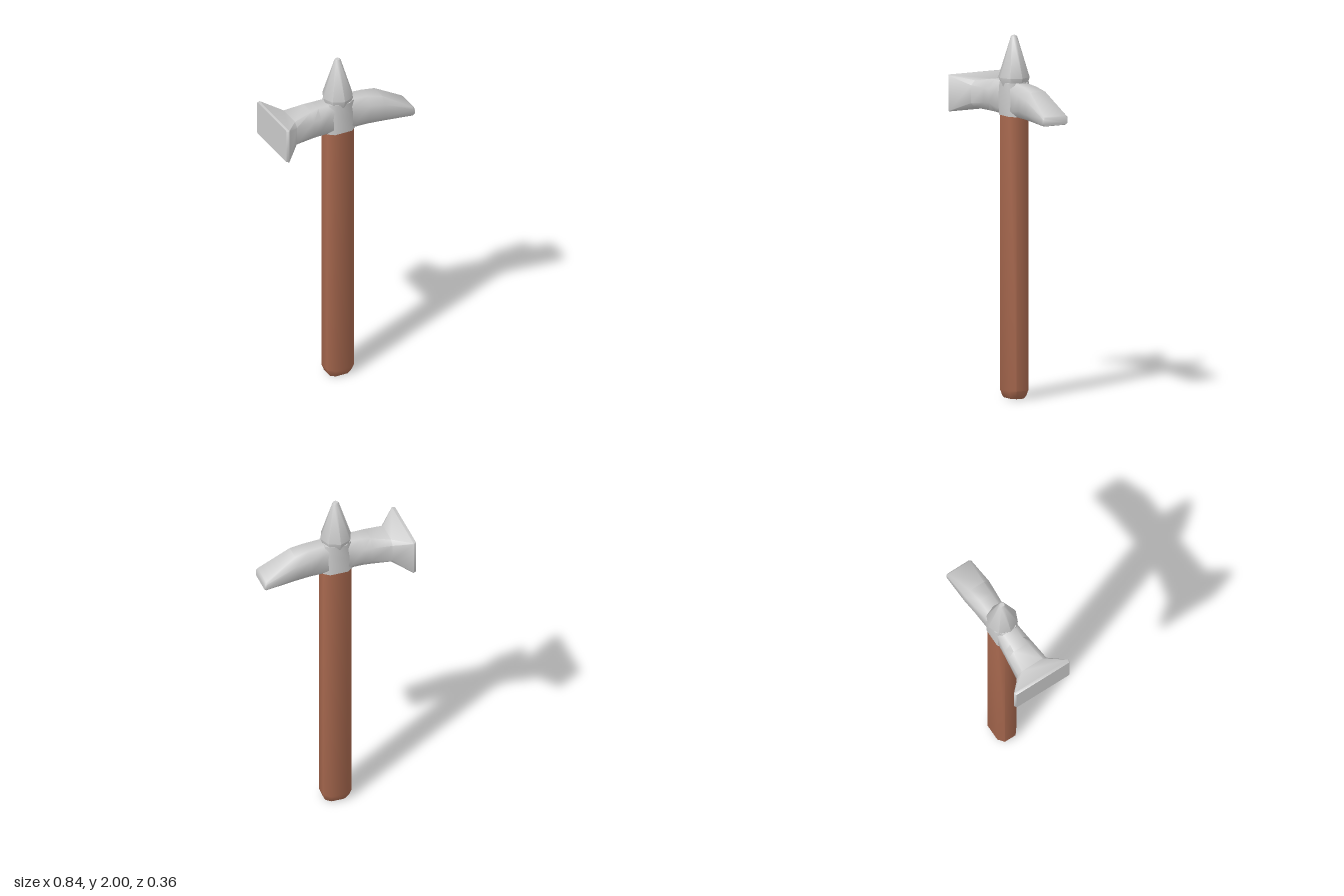
import * as THREE from 'three';
import { toCreasedNormals } from 'three/addons/utils/BufferGeometryUtils.js';

// Eight-cornered outline: a rectangle (half sizes a, b) with corners cut by ca, cb
function outline(a, b, ca, cb) {
  return [
    [a, -b + cb], [a, b - cb], [a - ca, b], [-a + ca, b],
    [-a, b - cb], [-a, -b + cb], [-a + ca, -b], [a - ca, -b],
  ];
}

// Skin a row of rings (arrays of Vector3) and close both ends
function loft(rings, crease) {
  const pos = [], idx = [], n = rings[0].length;
  rings.forEach((r) => r.forEach((p) => pos.push(p.x, p.y, p.z)));
  for (let i = 0; i < rings.length - 1; i++) {
    for (let j = 0; j < n; j++) {
      const a = i * n + j, b = i * n + (j + 1) % n;
      idx.push(a, b, a + n, b, b + n, a + n);
    }
  }
  const last = (rings.length - 1) * n;
  for (let j = 1; j < n - 1; j++) {
    idx.push(0, j + 1, j, last, last + j, last + j + 1);
  }
  const g = new THREE.BufferGeometry();
  g.setAttribute('position', new THREE.Float32BufferAttribute(pos, 3));
  g.setIndex(idx);
  return toCreasedNormals(g, crease);
}

export function createModel() {
  const group = new THREE.Group();
  const steel = new THREE.MeshStandardMaterial({ color: 0xcccccc });
  const wood = new THREE.MeshStandardMaterial({ color: 0xa9694f });
  const add = (name, geometry, material) => {
    const mesh = new THREE.Mesh(geometry, material);
    mesh.name = name;
    group.add(mesh);
    return mesh;
  };
  const cx = -0.013;

  // Handle: faceted bar with a bevelled butt; [y, half x, half z, cut]
  const handleRings = [
    [0, 0.062, 0.044, 0.026], [0.012, 0.071, 0.052, 0.03],
    [0.045, 0.082, 0.062, 0.034], [1.62, 0.082, 0.062, 0.034],
  ].map(([y, a, b, c]) =>
    outline(a, b, c, c * 0.8).map(([u, v]) => new THREE.Vector3(cx + u, y, -v)));
  add('handle', loft(handleRings, 0.9), wood);

  // Head: flared striking face, waist at the handle, wedge peen;
  // [x, bottom, top, half z, cut in z, cut in y]
  const headRings = [
    [-0.42, 1.546, 1.744, 0.173, 0.004, 0.004],
    [-0.404, 1.542, 1.744, 0.18, 0.004, 0.004],
    [-0.312, 1.568, 1.717, 0.093, 0.025, 0.025],
    [-0.2, 1.565, 1.738, 0.081, 0.035, 0.045],
    [-0.155, 1.564, 1.741, 0.076, 0.036, 0.05],
    [-0.08, 1.562, 1.742, 0.064, 0.026, 0.03],
    [0.055, 1.56, 1.742, 0.062, 0.026, 0.03],
    [0.15, 1.56, 1.735, 0.072, 0.034, 0.045],
    [0.235, 1.558, 1.717, 0.08, 0.034, 0.04],
    [0.412, 1.555, 1.608, 0.08, 0.01, 0.01],
    [0.42, 1.558, 1.602, 0.077, 0.01, 0.01],
  ].map(([x, y0, y1, h, cz, cy]) =>
    outline(h, (y1 - y0) / 2, cz, cy).map(([u, v]) =>
      new THREE.Vector3(x, (y0 + y1) / 2 + v, -u)));
  add('head', loft(headRings, 0.95), steel);

  // Socket block wrapping the handle inside the head
  const socketRings = [[1.56, 0.086, 0.066], [1.66, 0.086, 0.07], [1.745, 0.074, 0.07]]
    .map(([y, a, b]) => outline(a, b, 0.034, 0.027)
      .map(([u, v]) => new THREE.Vector3(cx + u, y, -v)));
  add('socket', loft(socketRings, 0.9), steel);

  // Top spike: eight-sided cone with an undercut base and blunt tip
  const profile = [[0, 1.72], [0.07, 1.72], [0.088, 1.77], [0.019, 1.99], [0.013, 2], [0, 2]]
    .map(([r, y]) => new THREE.Vector2(r, y));
  const spike = add('spike', toCreasedNormals(new THREE.LatheGeometry(profile, 8), 0.9), steel);
  spike.position.x = -0.015;

  return group;
}
